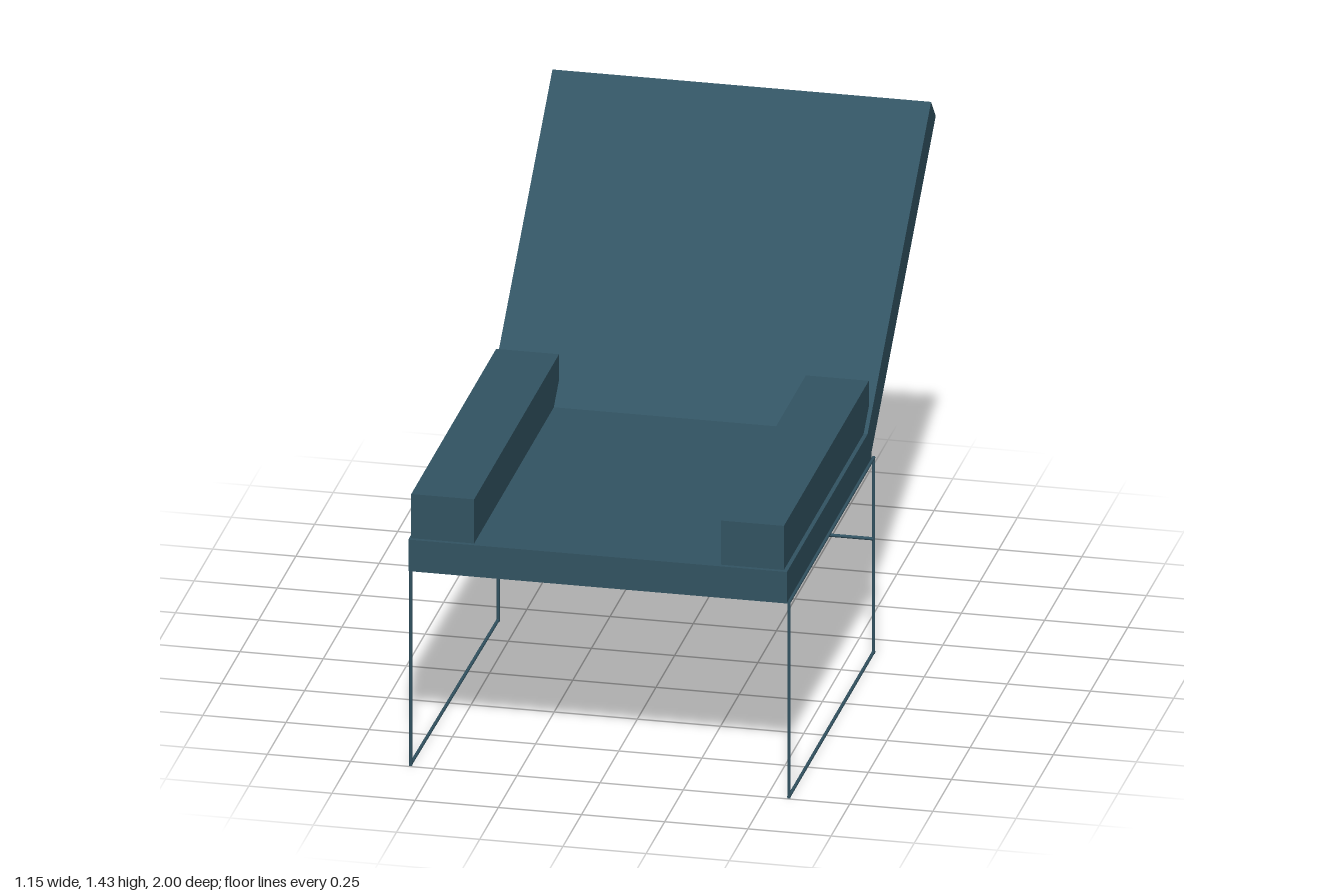
import * as THREE from 'three';

export function createModel() {
  const model = new THREE.Group();
  const slateBlue = new THREE.MeshStandardMaterial({ color: 0x325362 });

  const add = (name, geometry) => {
    const mesh = new THREE.Mesh(geometry, slateBlue);
    mesh.name = name;
    model.add(mesh);
    return mesh;
  };

  // Box given by its lower and upper corners
  const block = (name, [x0, y0, z0], [x1, y1, z1]) =>
    add(name, new THREE.BoxGeometry(x1 - x0, y1 - y0, z1 - z0))
      .position.set((x0 + x1) / 2, (y0 + y1) / 2, (z0 + z1) / 2);

  // Slim round bar between two points
  const bar = (name, from, to, radius = 0.005) => {
    const a = new THREE.Vector3(...from), b = new THREE.Vector3(...to);
    const mesh = add(name, new THREE.CylinderGeometry(radius, radius, a.distanceTo(b), 10));
    mesh.position.copy(a).add(b).multiplyScalar(0.5);
    mesh.quaternion.setFromUnitVectors(new THREE.Vector3(0, 1, 0), b.sub(a).normalize());
  };

  // Side profile (z, y) stretched across the chair width
  const panel = (name, points, x0, x1) => {
    const shape = new THREE.Shape(points.map(([z, y]) => new THREE.Vector2(-z, y)));
    const geometry = new THREE.ExtrudeGeometry(shape, { depth: x1 - x0, bevelEnabled: false });
    geometry.rotateY(Math.PI / 2);
    geometry.translate(x0, 0, 0);
    add(name, geometry);
  };

  // Upholstery
  const right = -0.577, left = 0.561;
  block('seat', [right, 0.62, -0.14], [left, 0.72, 0.998]);
  panel('backrest', [[-0.085, 0.72], [-0.14, 0.643], [-1.0, 1.36], [-0.938, 1.43]], right, left);
  block('rightArmrest', [-0.571, 0.719, -0.155], [-0.382, 0.86, 0.985]);
  block('leftArmrest', [0.36, 0.719, -0.155], [0.549, 0.86, 0.985]);

  // Side frames: a rectangular loop of slim bars under each edge
  const front = 0.992, back = -0.142, low = 0.006, high = 0.622;
  for (const [side, xFront, xBack] of [['right', -0.571, -0.562], ['left', 0.566, 0.566]]) {
    bar(side + 'FrontLeg', [xFront, low - 0.005, front], [xFront, high, front]);
    bar(side + 'BackLeg', [xBack, low - 0.005, back], [xBack, high, back]);
    bar(side + 'FloorBar', [xFront, low, front + 0.004], [xBack, low, back - 0.004]);
    bar(side + 'TopBar', [xFront, high, front + 0.004], [xBack, high, back - 0.004]);
  }

  // Cross bar between the back legs
  bar('backStretcher', [-0.562, 0.366, -0.14], [0.566, 0.366, -0.14]);

  return model;
}
